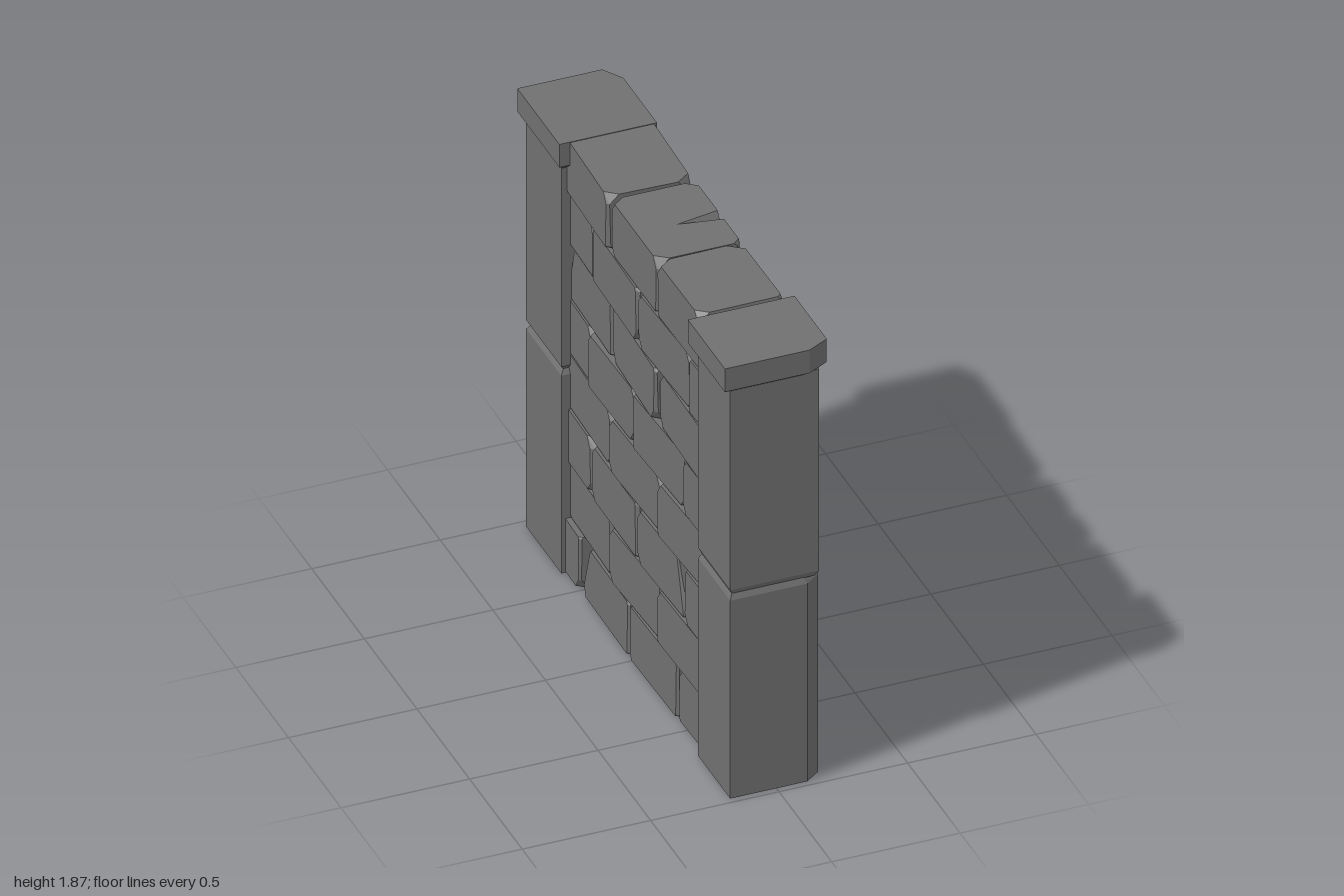
import * as THREE from 'three';
import { ConvexGeometry } from 'three/addons/geometries/ConvexGeometry.js';

const stone = new THREE.MeshStandardMaterial({ color: 0x707070, flatShading: true });

// Small seeded generator for the chips
let seed = 7;
function rand(min, max) {
  seed = (seed * 16807) % 2147483647;
  return min + (max - min) * (seed / 2147483647);
}

function hull(name, points) {
  const mesh = new THREE.Mesh(new ConvexGeometry(points), stone);
  mesh.name = name;
  return mesh;
}

// Pillar block: rectangle with its outer +x corner cut, stacked as [y, inset] rings
function pillarBlock(name, x0, x1, zInner, zOuter, cutX, cutZ, rings) {
  const s = Math.sign(zOuter);
  const points = [];
  for (const [y, inset] of rings) {
    const l = x0 + inset, r = x1 - inset;
    const zi = zInner + s * inset, zo = zOuter - s * inset;
    points.push(
      new THREE.Vector3(l, y, zi),
      new THREE.Vector3(r, y, zi),
      new THREE.Vector3(r, y, zo - s * cutZ),
      new THREE.Vector3(r - cutX, y, zo),
      new THREE.Vector3(l, y, zo)
    );
  }
  return hull(name, points);
}

// Brick with bevelled upright edges and chipped corners.
// slantFront / slantBack pull in the top of the +z / -z end; notch cuts one top +x corner.
function brick(y0, y1, zFront, zBack, { slantFront = 0, slantBack = 0, shift = 0, yaw = 0, notch = 0 } = {}) {
  const hx = 0.164, hy = (y1 - y0) / 2, hz = (zFront - zBack) / 2;
  const points = [];
  for (const sx of [-1, 1]) for (const sy of [-1, 1]) for (const sz of [-1, 1]) {
    const add = (dx, dy, dz) => {
      const y = sy * (hy - dy);
      const slant = (sz > 0 ? slantFront : slantBack) * (y + hy) / (2 * hy);
      points.push(new THREE.Vector3(sx * (hx - dx), y, sz * (hz - dz - slant)));
    };
    if (notch && sz === notch) {
      // Split side of a cracked brick: square, apart from the wedge on top
      if (sx > 0 && sy > 0) {
        add(0.17, 0, 0);
        add(0, 0.04, 0);
        add(0, 0, 0.03);
      } else add(0, 0, 0);
      continue;
    }
    const edge = rand(0.005, 0.015);
    const chip = rand(0, 1) > 0.65 ? rand(0.03, 0.045) : rand(0.006, 0.016);
    add(edge, chip, 0);
    add(0, chip, edge);
    add(0, 0, edge + chip * 0.7);
    add(edge + chip, 0, 0);
  }
  const mesh = hull('brick', points);
  mesh.position.set(shift, (y0 + y1) / 2, (zFront + zBack) / 2);
  mesh.rotation.y = yaw;
  return mesh;
}

export function createModel() {
  seed = 7;
  const model = new THREE.Group();
  model.name = 'brickWall';

  // Pillars: lower block, upper block and cap
  const front = new THREE.Group();
  front.name = 'frontPillar';
  front.add(
    pillarBlock('lowerBlock', -0.18, 0.18, 0.67, 0.975, 0.06, 0.045, [[0, 0], [0.85, 0], [0.875, 0.012]]),
    pillarBlock('upperBlock', -0.18, 0.178, 0.67, 0.975, 0.012, 0.045, [[0.87, 0.012], [0.895, 0], [1.76, 0]]),
    pillarBlock('cap', -0.21, 0.205, 0.645, 0.997, 0.085, 0.045, [[1.745, 0.03], [1.768, 0], [1.867, 0]])
  );
  const back = new THREE.Group();
  back.name = 'backPillar';
  back.add(
    pillarBlock('lowerBlock', -0.18, 0.175, -0.63, -0.965, 0.05, 0.055, [[0, 0], [0.85, 0], [0.872, 0.014]]),
    pillarBlock('upperBlock', -0.18, 0.175, -0.63, -0.965, 0.05, 0.055, [[0.868, 0.014], [0.888, 0], [1.76, 0]]),
    pillarBlock('cap', -0.2, 0.18, -0.6, -1, 0.05, 0.08, [[1.745, 0.025], [1.768, 0], [1.867, 0]])
  );
  model.add(front, back);

  // Brick courses from the ground up: [front z, back z, options]
  const courses = [
    [[0.81, 0.42, { shift: 0.011, yaw: 0.02 }], [0.42, -0.02], [-0.025, -0.48, { slantBack: 0.075 }], [-0.485, -0.8]],
    [[0.68, 0.245], [0.245, -0.205], [-0.21, -0.655, { shift: 0.013, yaw: -0.03 }]],
    [[0.8, 0.49, { slantBack: 0.01 }], [0.49, 0.05, { slantFront: 0.07 }], [0.05, -0.39], [-0.4, -0.73, { shift: 0.011, yaw: -0.02 }]],
    [[0.68, 0.25], [0.25, -0.21], [-0.21, -0.655, { shift: 0.013, yaw: -0.03 }]],
    [[0.8, 0.48], [0.48, 0.015], [0.015, -0.42], [-0.42, -0.735, { slantBack: -0.035, shift: 0.018, yaw: -0.03 }]],
    [[0.68, 0.25], [0.25, -0.2], [-0.215, -0.67, { slantBack: 0.07, shift: 0.018, yaw: -0.03 }]],
    [[0.8, 0.54], [0.53, 0.065], [0.065, -0.39], [-0.39, -0.775, { slantBack: 0.02, shift: 0.019, yaw: -0.03 }]],
    [[0.67, 0.245, { slantFront: 0.045, yaw: 0.01 }],
      [0.24, 0.045, { notch: -1 }], [0.045, -0.195, { notch: 1 }],
      [-0.215, -0.65, { yaw: -0.03 }]]
  ];
  const wall = new THREE.Group();
  wall.name = 'bricks';
  const pitch = 0.2332;
  courses.forEach((course, row) => {
    for (const [zFront, zBack, options = {}] of course) {
      const y0 = row * pitch + 0.006;
      const yaw = options.notch ? 0 : rand(-0.045, 0.045);
      wall.add(brick(y0, y0 + pitch - 0.007, zFront, zBack, { yaw, ...options }));
    }
  });
  model.add(wall);
  return model;
}
